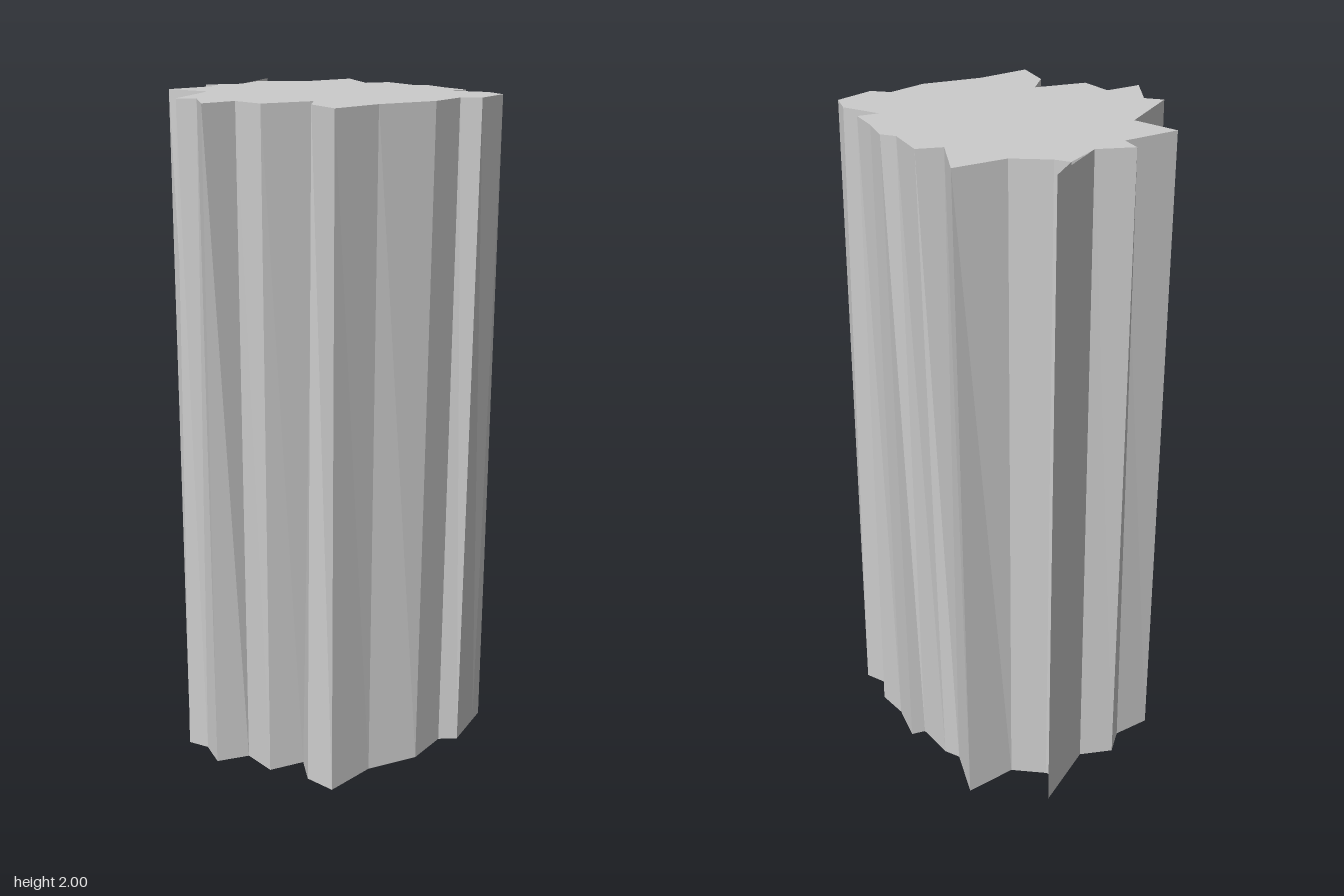
import * as THREE from 'three';

// Ridges of the column, clockwise from above: [topX, topZ, bottomX, bottomZ]
const ridges = [
  [-0.24, -0.454, -0.26, -0.452], [-0.10, -0.355, -0.12, -0.375],
  [-0.06, -0.42, -0.07, -0.39], [0.058, -0.384, 0.05, -0.375],
  [0.10, -0.405, 0.068, -0.415], [0.185, -0.37, 0.18, -0.37],
  [0.275, -0.345, 0.278, -0.363], [0.255, -0.285, 0.295, -0.30],
  [0.37, -0.32, 0.41, -0.33], [0.44, -0.285, 0.42, -0.28],
  [0.452, -0.16, 0.446, -0.15], [0.402, -0.125, 0.402, -0.11],
  [0.408, 0, 0.408, 0.025], [0.342, 0.17, 0.335, 0.17],
  [0.322, 0.332, 0.32, 0.332], [0.21, 0.29, 0.225, 0.33],
  [0.155, 0.212, 0.155, 0.267], [0.09, 0.355, 0.105, 0.365],
  [-0.012, 0.342, 0, 0.345], [-0.035, 0.45, -0.055, 0.43],
  [-0.14, 0.357, -0.135, 0.388], [-0.19, 0.387, -0.20, 0.402],
  [-0.27, 0.175, -0.268, 0.25], [-0.412, 0.19, -0.41, 0.19],
  [-0.378, 0.022, -0.39, 0.075], [-0.438, 0.003, -0.435, 0.003],
  [-0.375, -0.088, -0.378, -0.085], [-0.455, -0.30, -0.452, -0.30],
  [-0.408, -0.205, -0.41, -0.21], [-0.365, -0.223, -0.365, -0.225],
  [-0.28, -0.30, -0.28, -0.295],
];
const OPEN_SPIKE = 27; // thin spike left uncovered by the top cap
const HEIGHT = 2;

const top = (r) => new THREE.Vector3(r[0], HEIGHT, r[1]);
const bottom = (r) => new THREE.Vector3(r[2], 0, r[3]);

// Flat-shaded geometry from a list of triangle corners
function facets(points) {
  const geometry = new THREE.BufferGeometry().setFromPoints(points);
  geometry.computeVertexNormals();
  return geometry;
}

// Flat lid over an outline, facing up (1) or down (-1)
function lid(outline, facing) {
  const flat = outline.map((p) => new THREE.Vector2(p.x, p.z));
  const points = [];
  for (const [i, j, k] of THREE.ShapeUtils.triangulateShape(flat, [])) {
    const turn = flat[j].clone().sub(flat[i]).cross(flat[k].clone().sub(flat[i]));
    const order = turn * facing < 0 ? [i, j, k] : [i, k, j];
    points.push(...order.map((n) => outline[n]));
  }
  return facets(points);
}

export function createModel() {
  const group = new THREE.Group();
  group.name = 'ridgedColumn';
  const stone = new THREE.MeshStandardMaterial({ color: 0xcccccc, side: THREE.DoubleSide });
  stone.name = 'grey stone';
  const add = (name, geometry) => {
    const mesh = new THREE.Mesh(geometry, stone);
    mesh.name = name;
    group.add(mesh);
  };

  // Fluted side walls
  const walls = [];
  ridges.forEach((a, i) => {
    const b = ridges[(i + 1) % ridges.length];
    walls.push(bottom(a), top(a), top(b), bottom(a), top(b), bottom(b));
  });
  add('sideWalls', facets(walls));

  // End caps
  add('topCap', lid(ridges.filter((r, i) => i !== OPEN_SPIKE).map(top), 1));
  add('bottomCap', lid(ridges.map(bottom), -1));
  return group;
}
